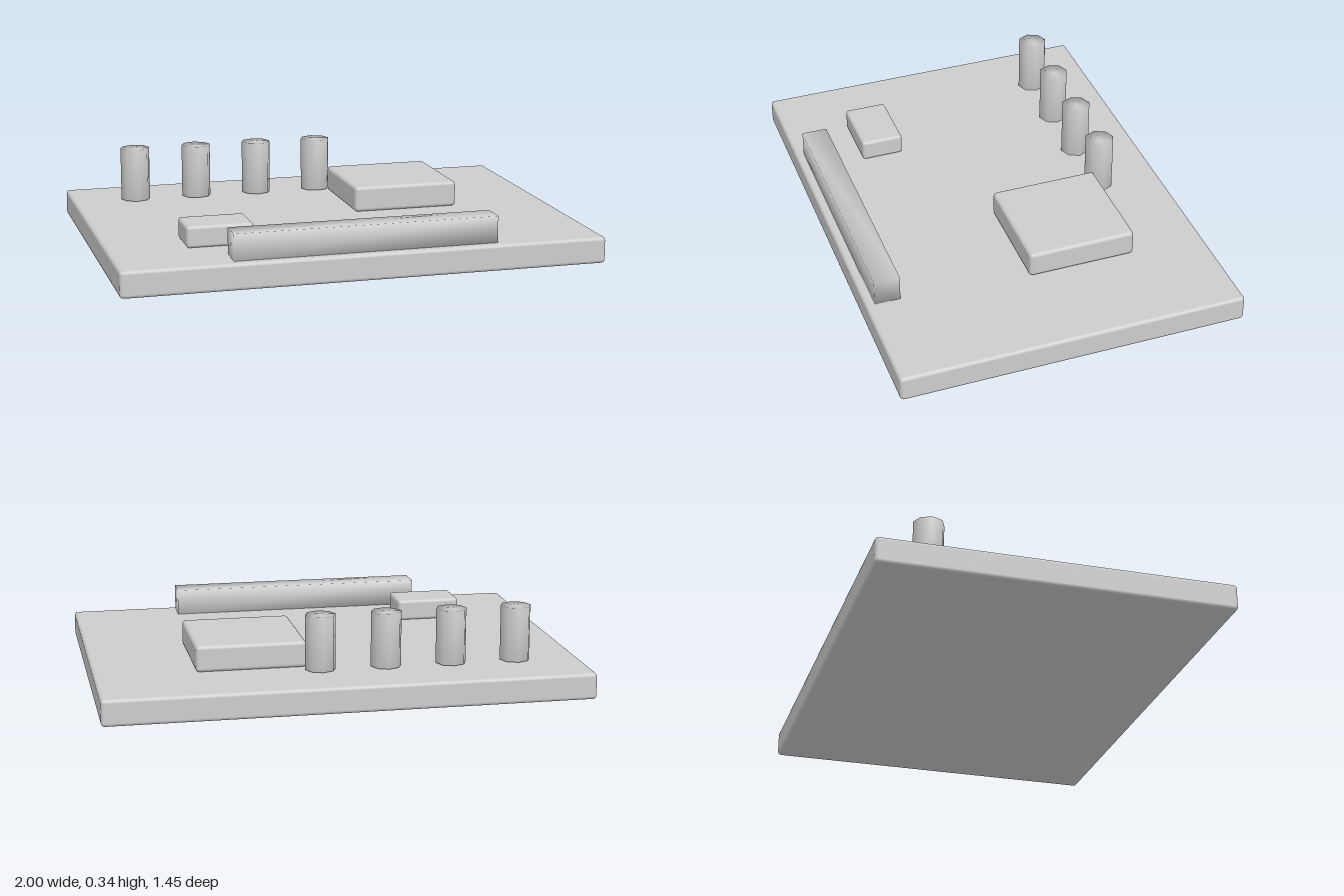
import * as THREE from 'three';
import { mergeVertices } from 'three/addons/utils/BufferGeometryUtils.js';
import { RoundedBoxGeometry } from 'three/addons/geometries/RoundedBoxGeometry.js';

// Weld all corners so shading runs smoothly over every edge
function smooth(geometry) {
  geometry.deleteAttribute('normal');
  geometry.deleteAttribute('uv');
  const welded = mergeVertices(geometry, 1e-4);
  welded.computeVertexNormals();
  return welded;
}

export function createModel() {
  const model = new THREE.Group();
  model.name = 'circuitBoard';
  const grey = new THREE.MeshStandardMaterial({ color: 0xcccccc });
  grey.name = 'light grey';

  const add = (name, geometry, x, y, z) => {
    const mesh = new THREE.Mesh(geometry, grey);
    mesh.name = name;
    mesh.position.set(x, y, z);
    model.add(mesh);
  };
  const block = (w, h, d, r) => new RoundedBoxGeometry(w, h, d, 2, r);

  // Board with softened edges
  add('board', block(2, 0.11, 1.45, 0.015), 0, 0.055, 0);

  // Chips lying on the board
  add('largeChip', block(0.455, 0.11, 0.455, 0.016), 0.362, 0.165, -0.183);
  add('smallChip', block(0.275, 0.09, 0.18, 0.014), -0.547, 0.155, 0.364);

  // Long connector along the front edge
  add('connector', smooth(new THREE.BoxGeometry(1.088, 0.11, 0.108)), -0.002, 0.165, 0.635);

  // Row of eight-sided capacitors
  const capacitor = smooth(new THREE.CylinderGeometry(0.0635, 0.0635, 0.228, 8));
  for (let i = 0; i < 4; i++) {
    add('capacitor' + (i + 1), capacitor, -0.729 + i * 0.2725, 0.228, -0.455);
  }
  return model;
}
